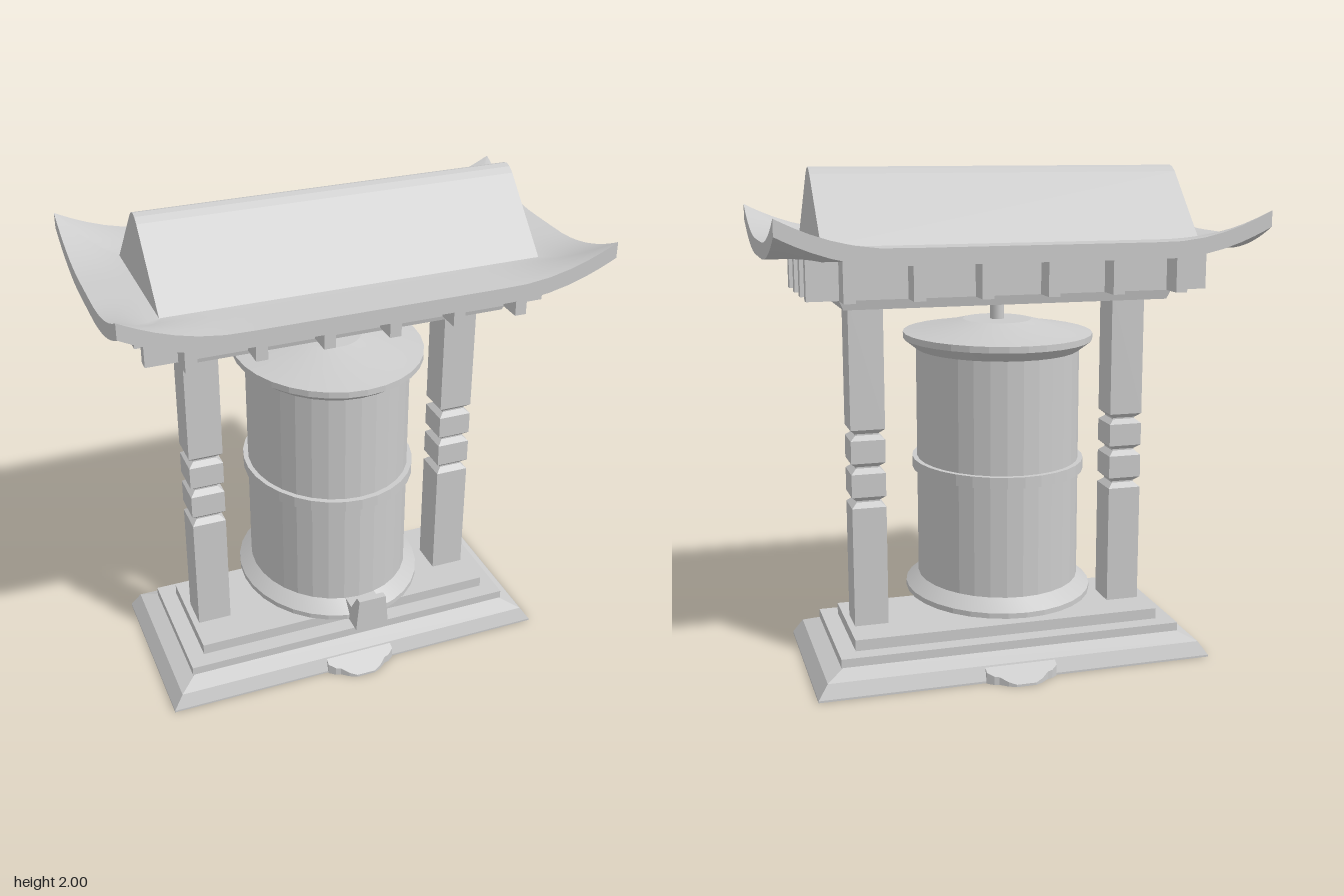
import * as THREE from 'three';
import { toCreasedNormals } from 'three/addons/utils/BufferGeometryUtils.js';

const smooth = new THREE.MeshStandardMaterial({ color: 0xcccccc });
const flat = new THREE.MeshStandardMaterial({ color: 0xcccccc, flatShading: true });

// Skin closed rings of points, listed from the top down, each counterclockwise from above
function loft(rings) {
  const pos = [];
  const tri = (a, b, c) => {
    const area = new THREE.Triangle(a, b, c).getArea();
    if (area > 1e-8) for (const p of [a, b, c]) pos.push(p.x, p.y, p.z);
  };
  for (let k = 0; k < rings.length - 1; k++) {
    const a = rings[k], b = rings[k + 1], n = a.length;
    for (let i = 0; i < n; i++) {
      const j = (i + 1) % n;
      tri(a[i], b[i], b[j]);
      tri(a[i], b[j], a[j]);
    }
  }
  const geo = new THREE.BufferGeometry();
  geo.setAttribute('position', new THREE.Float32BufferAttribute(pos, 3));
  geo.computeVertexNormals();
  return geo;
}

// Rectangular ring: half width, half depth, height
const rect = ([hx, hz, y]) =>
  [[1, 1], [1, -1], [-1, -1], [-1, 1]].map(([sx, sz]) => new THREE.Vector3(sx * hx, y, sz * hz));

// Solid stack of rectangles, closed at both ends
function stack(levels) {
  const first = levels[0], last = levels[levels.length - 1];
  return loft([[0, 0, first[2]], ...levels, [0, 0, last[2]]].map(rect));
}

// Side profile in (z, y), extruded along x and centred
function extrudeX(points, width) {
  const shape = new THREE.Shape(points.map(([z, y]) => new THREE.Vector2(-z, y)));
  const geo = new THREE.ExtrudeGeometry(shape, { depth: width, bevelEnabled: false });
  return geo.translate(0, 0, -width / 2).rotateY(Math.PI / 2);
}

// Eaves that sweep up towards the four corners
function roofGeometry() {
  const HX = 0.935, HZ = 0.52, IX = 0.74, IZ = 0.3;
  const corners = [[1, 1], [1, -1], [-1, -1], [-1, 1]];
  const edge = [];
  corners.forEach(([x, z], c) => {
    const [nx, nz] = corners[(c + 1) % 4];
    const half = x === nx ? HZ : HX;
    for (let i = 0; i < 24; i++) {
      const s = (1 - Math.cos((Math.PI * i) / 24)) / 2;
      const d = Math.min(s, 1 - s) * 2 * half;
      const lift = 0.11 * Math.max(0, 1 - d / 0.42) ** 2;
      edge.push({ x: x + (nx - x) * s, z: z + (nz - z) * s, lift });
    }
  });
  const ring = (t, y) => edge.map((e) => new THREE.Vector3(
    e.x * (IX + (HX - IX) * t), y + e.lift * t ** 1.5, e.z * (IZ + (HZ - IZ) * t)));
  const centre = (y) => edge.map(() => new THREE.Vector3(0, y, 0));
  const ts = [0, 0.25, 0.5, 0.75, 1];
  return toCreasedNormals(loft([
    centre(1.722),
    ...ts.map((t) => ring(t, 1.722 + 0.008 * t)),
    ...[...ts].reverse().map((t) => ring(t, 1.668)),
    centre(1.668),
  ]), 0.6);
}

export function createModel() {
  const model = new THREE.Group();
  const add = (name, geo, mat = flat, parent = model) => {
    const mesh = new THREE.Mesh(geo, mat);
    mesh.name = name;
    parent.add(mesh);
    return mesh;
  };

  // Stepped base
  add('basePlate', stack([[0.7, 0.285, 0.095], [0.77, 0.35, 0.065], [0.81, 0.37, 0.008], [0.81, 0.37, 0]]));
  add('middleStep', stack([[0.705, 0.285, 0.13], [0.705, 0.285, 0.09]]));
  add('topStep', stack([[0.637, 0.217, 0.175], [0.637, 0.217, 0.125]]));

  // Scalloped tongues at the front and back of the base
  const half = [[0.145, 0.34], [0.145, 0.375], [0.12, 0.395], [0.1, 0.4], [0.07, 0.425], [0.04, 0.44]];
  const plan = [...half, ...half.map(([x, z]) => [-x, z]).reverse()];
  const tongue = new THREE.ExtrudeGeometry(
    new THREE.Shape(plan.map(([x, z]) => new THREE.Vector2(x, -z))),
    { depth: 1, bevelEnabled: false }).rotateX(-Math.PI / 2);
  const tp = tongue.attributes.position;
  for (let i = 0; i < tp.count; i++) {
    const top = 0.065 - 0.055 * (tp.getZ(i) - 0.34) / 0.1;
    tp.setY(i, tp.getY(i) * top);
  }
  add('frontTongue', tongue);
  add('backTongue', tongue).rotation.y = Math.PI;

  // Square posts with carved notches
  const W = 0.069, N = 0.047;
  const post = stack([
    [W, 1.49], [W, 0.985], [N, 0.966], [N, 0.96], [W, 0.942], [W, 0.85], [N, 0.832], [N, 0.826],
    [W, 0.806], [W, 0.712], [N, 0.693], [N, 0.687], [W, 0.667], [W, 0.17],
  ].map(([w, y]) => [w, w, y]));
  add('leftPost', post).position.x = 0.543;
  add('rightPost', post).position.x = -0.543;

  // Oval drum on its axle
  const drum = new THREE.Group();
  drum.name = 'drum';
  drum.position.z = -0.018;
  drum.scale.z = 1.125;
  model.add(drum);
  const lathe = (pts) => toCreasedNormals(
    new THREE.LatheGeometry(pts.map(([r, y]) => new THREE.Vector2(r, y)), 32), 0.15);
  add('drumBody', lathe([
    [0, 0.232], [0.14, 0.232], [0.25, 0.257], [0.376, 0.285], [0.376, 0.306], [0.325, 0.35],
    [0.325, 1.285], [0.376, 1.325], [0.376, 1.35], [0.25, 1.372], [0.135, 1.4], [0, 1.4],
  ]), smooth, drum);
  add('drumBand', lathe([[0.32, 0.795], [0.345, 0.795], [0.345, 0.84], [0.32, 0.84]]), smooth, drum);
  add('axle', new THREE.CylinderGeometry(0.028, 0.028, 1.32, 12).translate(0, 0.83, 0), smooth, drum);

  // Tapered push handle on the lower rim
  const handle = extrudeX(
    [[0.3, 0.285], [0.3, 0.35], [0.405, 0.35], [0.448, 0.423], [0.475, 0.423], [0.475, 0.285]].reverse(), 0.14);
  const hp = handle.attributes.position;
  for (let i = 0; i < hp.count; i++) {
    hp.setX(i, 0.006 + hp.getX(i) * (1 - 1.35 * (hp.getY(i) - 0.285)));
  }
  handle.computeVertexNormals();
  add('handle', handle);

  // Beam plate and crossing rafters under the roof
  add('beamPlate', stack([[0.67, 0.215, 1.522], [0.65, 0.205, 1.478]]));
  for (const x of [-0.65, -0.39, -0.13, 0.13, 0.39, 0.65]) {
    add('crossRafter', new THREE.BoxGeometry(0.046, 0.155, 0.704).translate(x, 1.597, 0));
  }
  for (const z of [-0.235, -0.078, 0.078, 0.235]) {
    add('longRafter', new THREE.BoxGeometry(1.59, 0.154, 0.043).translate(0, 1.597, z));
  }

  // Roof with curved eaves and a gabled ridge
  add('eaves', roofGeometry(), smooth);
  add('gable', extrudeX([
    [0.3, 1.71], [0.295, 1.722], [0.05, 1.975], [0.025, 1.993], [0, 2],
    [-0.025, 1.993], [-0.05, 1.975], [-0.295, 1.722], [-0.3, 1.71],
  ], 1.48));

  return model;
}
